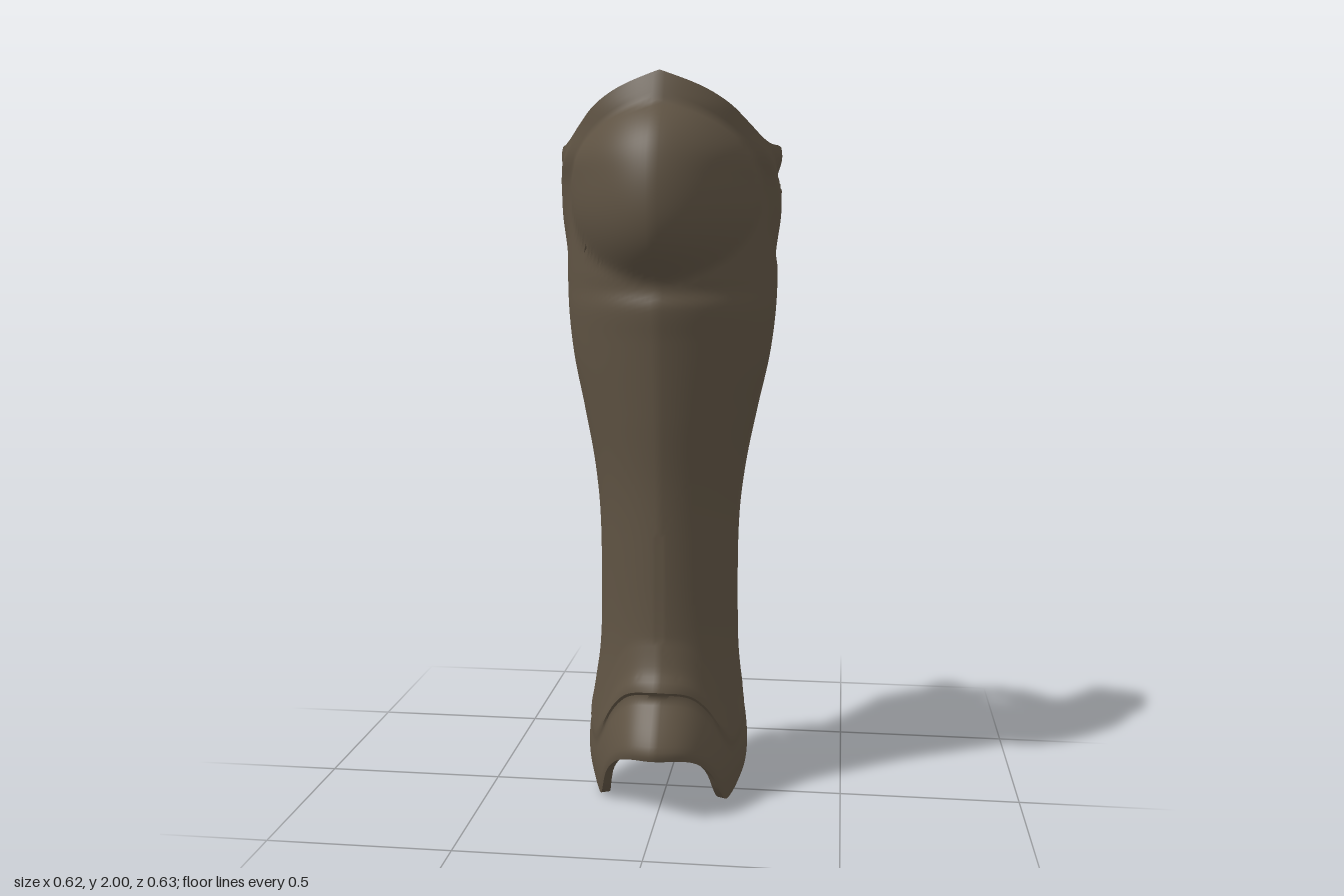
import * as THREE from 'three';
import { mergeVertices, toCreasedNormals } from 'three/addons/utils/BufferGeometryUtils.js';

// Smooth curve through [position, value] pairs
function curve(pts) {
  const slope = (i) => {
    const a = pts[Math.max(i - 1, 0)], b = pts[Math.min(i + 1, pts.length - 1)];
    return (b[1] - a[1]) / (b[0] - a[0]);
  };
  return (x) => {
    if (x <= pts[0][0]) return pts[0][1];
    if (x >= pts[pts.length - 1][0]) return pts[pts.length - 1][1];
    let i = 0;
    while (x > pts[i + 1][0]) i++;
    const h = pts[i + 1][0] - pts[i][0], t = (x - pts[i][0]) / h, t2 = t * t, t3 = t2 * t;
    return pts[i][1] * (2 * t3 - 3 * t2 + 1) + pts[i + 1][1] * (3 * t2 - 2 * t3)
      + h * slope(i) * (t3 - 2 * t2 + t) + h * slope(i + 1) * (t3 - t2);
  };
}
const step = (x, a, b) => THREE.MathUtils.smoothstep(x, a, b);

// Shell measurements by height
const halfWidth = curve([[0, 0.2], [0.1, 0.22], [0.2, 0.222], [0.3, 0.21], [0.42, 0.195], [0.6, 0.19], [0.8, 0.194],
  [0.95, 0.212], [1.1, 0.242], [1.25, 0.274], [1.4, 0.29], [1.6, 0.292], [1.72, 0.291], [1.79, 0.308], [1.86, 0.295], [2, 0.285]]);
const frontZ = curve([[0, 0.2], [0.2, 0.2], [0.35, 0.185], [0.5, 0.168], [0.7, 0.165], [0.9, 0.17], [1.1, 0.19],
  [1.3, 0.21], [1.39, 0.22], [1.43, 0.21], [1.47, 0.214], [1.6, 0.205], [1.75, 0.195], [1.9, 0.188], [1.95, 0.172], [2, 0.15]]);
const backZ = curve([[0, -0.14], [0.17, -0.16], [0.35, -0.155], [0.5, -0.122], [0.7, -0.115], [0.9, -0.12], [1.1, -0.155],
  [1.27, -0.21], [1.4, -0.228], [1.49, -0.21], [1.55, -0.218], [1.66, -0.247], [2, -0.247]]);
const middleZ = curve([[0, -0.02], [0.3, -0.03], [0.8, -0.04], [1.4, -0.09], [1.7, -0.1], [2, -0.1]]);
// Edge heights from the front (0) to the back edge (1)
const bottomEdge = curve([[0, 0.18], [0.12, 0.174], [0.2, 0.155], [0.28, 0.11], [0.36, 0.04], [0.43, 0], [0.5, 0.012], [0.6, 0.06], [0.8, 0.125], [1, 0.17]]);
const topEdge = curve([[0, 2], [0.04, 1.99], [0.17, 1.955], [0.28, 1.915], [0.37, 1.87], [0.47, 1.825], [0.6, 1.815], [0.78, 1.765], [1, 1.665]]);
// Ankle lip: outward offset by height above the bottom edge
const ankleFlare = curve([[0, 0.085], [0.02, 0.09], [0.06, 0.07], [0.1, 0.042], [0.14, 0.012], [0.155, 0.012], [0.17, 0.035], [0.22, 0.014], [0.3, 0]]);

function shellPoint(side, v, inner) {
  const u = Math.abs(side), sign = Math.sign(side);
  const low = bottomEdge(u), high = topEdge(u), y = low + v * (high - low);
  const flare = ankleFlare(y - low);
  const zFlare = flare * (1 - step(u, 0.1, 0.6)), xFlare = flare * 0.1;
  let offset = 0;
  if (inner) {
    // Wall thickness, thinning towards the rims and the back edges
    const rim = 0.65 + 0.35 * step(Math.min(y - low, high - y), 0, 0.05);
    offset = -rim * (1 - 0.6 * step(u, 0.72, 1)) * (0.03 + 0.013 * (1 - step(y, 1.71, 1.74)));
  } else {
    // Overlap of the shin wing below the knee plate, and the raised back border
    const ledge = 1.66 + 0.1 * (1 - u) + 0.5 * Math.max(0, 0.6 - u);
    offset += 0.018 * step(y, ledge - 0.2, ledge - 0.02) * (1 - step(y, ledge, ledge + 0.02)) * step(u, 0.4, 0.56);
    offset += 0.01 * step(u, 0.72, 0.76) * (1 - step(u, 0.88, 1)) * step(y, 0.2, 0.5) * (1 - step(y, 1.48, 1.54));
  }
  const w = halfWidth(y) + offset + xFlare, zc = middleZ(y);
  let x, z;
  if (u <= 0.6) {
    // Front half: an ellipse drawn in a little at the diagonals
    const a = (u / 0.6) * Math.PI / 2, squeeze = 1 - 0.06 * Math.sin(2 * a);
    x = w * Math.sin(a) * squeeze;
    z = zc + (frontZ(y) + offset + zFlare - zc) * Math.cos(a) * squeeze;
  } else {
    const s = (u - 0.6) / 0.4;
    x = w * (1 - (0.09 + 0.05 * (1 - step(y, 0.2, 0.6))) * s * s);
    z = zc + (backZ(y) - zc) * s;
  }
  // Rounded knee cup, softer towards its lower border
  const dy = y - 1.69, fall = (dy / (dy < 0 ? 0.235 : 0.225)) ** 2;
  const d = 1 - (x / 0.262) ** 2 - fall;
  if (!inner && d > 0 && u < 0.6) z += 0.114 * d ** (0.6 + (dy < 0 ? 0.6 : 0.35) * fall);
  return [sign * x, y, z];
}

// Closed plate: each column runs up the outside and down the inside
function shellGeometry() {
  const cols = 100, rows = 140, loop = rows * 2, pos = [], index = [];
  for (let i = 0; i <= cols; i++) {
    const side = (i / cols) * 2 - 1;
    for (let j = 0; j < loop; j++) {
      const inner = j >= rows;
      pos.push(...shellPoint(side, (inner ? loop - 1 - j : j) / (rows - 1), inner));
    }
  }
  const quad = (a, b, c, d) => index.push(a, b, c, a, c, d);
  for (let i = 0; i < cols; i++) {
    for (let j = 0; j < loop; j++) {
      const k = (j + 1) % loop, p = i * loop, q = p + loop;
      quad(p + j, q + j, q + k, p + k);
    }
  }
  // Back edges
  const last = cols * loop;
  for (let j = 0; j < rows - 1; j++) {
    const a = j, b = j + 1, c = loop - 2 - j, d = loop - 1 - j;
    quad(a, b, c, d);
    quad(last + a, last + d, last + c, last + b);
  }
  const geo = new THREE.BufferGeometry();
  geo.setAttribute('position', new THREE.Float32BufferAttribute(pos, 3));
  geo.setIndex(index);
  return toCreasedNormals(geo, 0.9);
}

// Flat band following a path of [x, z] points
function strapGeometry(points, y0, y1, thickness) {
  const path = new THREE.CatmullRomCurve3(points.map(([x, z]) => new THREE.Vector3(x, -z, 0)));
  const outer = [], inner = [], n = 28, bevel = 0.006;
  for (let i = 0; i <= n; i++) {
    const p = path.getPoint(i / n), t = path.getTangent(i / n);
    const side = new THREE.Vector2(-t.y, t.x).multiplyScalar(thickness / 2 - bevel);
    outer.push(new THREE.Vector2(p.x + side.x, p.y + side.y));
    inner.unshift(new THREE.Vector2(p.x - side.x, p.y - side.y));
  }
  const geo = new THREE.ExtrudeGeometry(new THREE.Shape([...outer, ...inner]), {
    depth: y1 - y0 - 2 * bevel, bevelEnabled: true, bevelSize: bevel, bevelThickness: bevel, bevelSegments: 2,
  });
  geo.rotateX(-Math.PI / 2).translate(0, y0 + bevel, 0);
  geo.deleteAttribute('uv');
  geo.deleteAttribute('normal');
  return toCreasedNormals(mergeVertices(geo), 0.7);
}

export function createModel() {
  const group = new THREE.Group();
  const leather = new THREE.MeshStandardMaterial({ color: 0x5f5343 });
  leather.name = 'dark brown';
  const add = (name, geo) => {
    const mesh = new THREE.Mesh(geo, leather);
    mesh.name = name;
    group.add(mesh);
  };
  add('legPlate', shellGeometry());
  add('upperStrap', strapGeometry([[-0.255, -0.21], [-0.21, -0.25], [-0.13, -0.286], [0, -0.298], [0.14, -0.298], [0.19, -0.272], [0.255, -0.215]], 1.28, 1.42, 0.026));
  // Lower strap in two overlapping ends
  add('lowerStrapLeft', strapGeometry([[0.175, -0.11], [0.167, -0.16], [0.135, -0.212], [0.05, -0.223], [-0.035, -0.232]], 0.555, 0.675, 0.025));
  add('lowerStrapRight', strapGeometry([[-0.175, -0.11], [-0.155, -0.16], [-0.11, -0.2], [-0.05, -0.222], [0.0, -0.22]], 0.55, 0.665, 0.022));
  return group;
}
